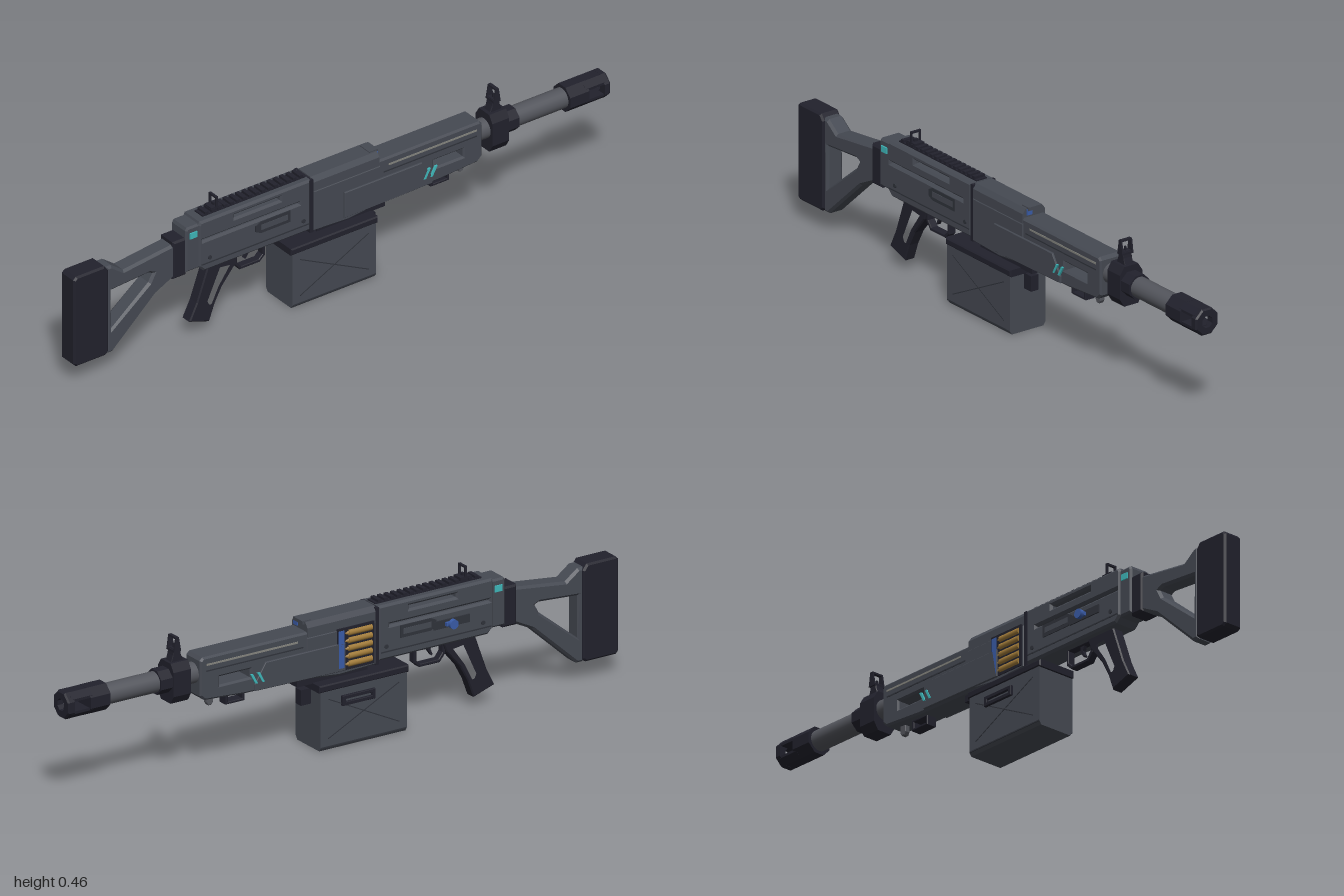
import * as THREE from 'three';

const mat = (name, color) => Object.assign(new THREE.MeshStandardMaterial({ color }), { name });

export function createModel() {
  const model = new THREE.Group();
  model.name = 'beltFedProp';
  const body = mat('slate grey', 0x454952);
  const dark = mat('near black', 0x21212c);
  const steel = mat('barrel grey', 0x53555c);
  const line = mat('panel line', 0x30333b);
  const cyan = mat('cyan accent', 0x3fb8bb);
  const blue = mat('blue accent', 0x3a5ca8);
  const brass = mat('brass', 0xa07a38);
  const pale = mat('pale trim', 0x85857f);

  const add = (name, geo, m, x = 0, y = 0, z = 0) => {
    const mesh = new THREE.Mesh(geo, m);
    mesh.name = name;
    mesh.position.set(x, y, z);
    model.add(mesh);
    return mesh;
  };
  // box from its x and y limits, depth d centred on z
  const box = (name, m, x0, x1, y0, y1, d, z = 0) =>
    add(name, new THREE.BoxGeometry(x1 - x0, y1 - y0, d), m, (x0 + x1) / 2, (y0 + y1) / 2, z);
  const points = (p) => p.map(([x, y]) => new THREE.Vector2(x, y));
  // side outline given thickness along z, with chamfered edges
  const slab = (name, m, outline, half, b = 0.005, holes = []) => {
    const shape = new THREE.Shape(points(outline));
    holes.forEach((h) => shape.holes.push(new THREE.Path(points(h))));
    const geo = new THREE.ExtrudeGeometry(shape, {
      depth: 2 * (half - b), bevelEnabled: b > 0, bevelThickness: b, bevelSize: b, bevelOffset: -b, bevelSegments: 1,
    });
    geo.translate(0, 0, -(half - b));
    return add(name, geo, m);
  };
  const rect = (x0, x1, y0, y1) => [[x0, y0], [x1, y0], [x1, y1], [x0, y1]];
  // y-z outline stretched along x, for sections with sloped shoulders
  const section = (name, m, outline, x0, x1) => {
    const geo = new THREE.ExtrudeGeometry(new THREE.Shape(points(outline)), { depth: x1 - x0, bevelEnabled: false });
    geo.rotateY(Math.PI / 2);
    return add(name, geo, m, x0, 0, 0);
  };
  const axisY = 0.328;
  // round part along x; flat sides when there are few
  const rod = (name, m, x0, x1, r, sides = 24, y = axisY, z = 0) => {
    let geo = new THREE.CylinderGeometry(r, r, x1 - x0, sides);
    geo.rotateY(Math.PI / sides).rotateZ(Math.PI / 2);
    if (sides < 12) { geo = geo.toNonIndexed(); geo.computeVertexNormals(); }
    return add(name, geo, m, (x0 + x1) / 2, y, z);
  };
  const bothSides = (fn) => [1, -1].forEach(fn);

  // Shoulder stock
  slab('buttPad', dark, [[-1, 0.075], [-0.99, 0.065], [-0.88, 0.065], [-0.87, 0.075], [-0.87, 0.36], [-0.885, 0.38], [-0.99, 0.38], [-1, 0.37]], 0.034, 0.006);
  slab('stockFrame', body, [[-0.875, 0.065], [-0.85, 0.065], [-0.69, 0.21], [-0.62, 0.245], [-0.62, 0.36], [-0.81, 0.337], [-0.855, 0.37], [-0.875, 0.37]],
    0.03, 0.008, [[[-0.855, 0.145], [-0.715, 0.258], [-0.7, 0.285], [-0.715, 0.292], [-0.855, 0.282]]]);
  slab('stockCollar', dark, rect(-0.63, -0.58, 0.24, 0.37), 0.034, 0.006);

  // Rear receiver with slots through both walls
  slab('receiverEnd', body, [[-0.585, 0.25], [-0.53, 0.25], [-0.53, 0.405], [-0.58, 0.405], [-0.585, 0.395]], 0.038, 0.006);
  slab('receiver', body, [[-0.54, 0.255], [-0.52, 0.235], [-0.122, 0.235], [-0.122, 0.412], [-0.535, 0.412], [-0.54, 0.4]], 0.043, 0.007,
    [rect(-0.405, -0.235, 0.38, 0.391), rect(-0.525, -0.165, 0.342, 0.346)]);
  bothSides((s) => {
    box('endAccent', cyan, -0.572, -0.545, 0.365, 0.385, 0.006, s * 0.039);
    slab('sideSlot', line, [[-0.33, 0.305], [-0.31, 0.295], [-0.2, 0.295], [-0.2, 0.335], [-0.31, 0.335], [-0.33, 0.325]], 0.003, 0).position.z = s * 0.043;
    box('slotInset', body, -0.31, -0.21, 0.306, 0.324, 0.006, s * 0.0445);
    box('lowerSeam', line, -0.53, -0.13, 0.259, 0.263, 0.004, s * 0.0425);
    [-0.5, -0.15].forEach((x) => {
      const pin = add('pin', new THREE.CylinderGeometry(0.007, 0.007, 0.006, 12), line, x, 0.278, s * 0.043);
      pin.rotation.x = Math.PI / 2;
    });
  });
  box('frontSeam', dark, -0.124, -0.112, 0.225, 0.41, 0.084);

  // Toothed top rail
  box('railBase', dark, -0.51, -0.125, 0.408, 0.416, 0.04);
  for (let i = 0; i < 16; i++) box('railTooth', dark, -0.5 + i * 0.0235, -0.487 + i * 0.0235, 0.414, 0.424, 0.04);

  // Rear sight frame
  box('rearSightBase', dark, -0.475, -0.435, 0.415, 0.428, 0.036);
  bothSides((s) => box('rearSightPost', dark, -0.459, -0.451, 0.425, 0.46, 0.005, s * 0.016));
  box('rearSightTop', dark, -0.459, -0.451, 0.456, 0.462, 0.037);
  box('rearSightNotch', dark, -0.459, -0.451, 0.426, 0.436, 0.012);

  // Feed housing and its raised cover
  slab('feedHousing', body, [[-0.115, 0.228], [0.02, 0.222], [0.14, 0.235], [0.14, 0.37], [-0.115, 0.37]], 0.044, 0.005);
  section('topCover', body, [[-0.042, 0.36], [0.042, 0.36], [0.042, 0.398], [0.03, 0.414], [-0.03, 0.414], [-0.042, 0.398]], -0.115, 0.135);
  box('coverLip', body, 0.11, 0.142, 0.406, 0.417, 0.05);
  box('coverLatch', blue, 0.128, 0.14, 0.392, 0.41, 0.02, 0.018);
  const mark = box('coverMark', dark, 0.01, 0.045, 0.3, 0.305, 0.004, 0.0435);
  mark.rotation.z = 0.8;

  // Cartridge window on the back side
  box('feedWindow', dark, -0.105, 0.03, 0.236, 0.372, 0.006, -0.044);
  box('feedPlate', blue, 0.005, 0.026, 0.245, 0.365, 0.006, -0.046);
  for (let i = 0; i < 5; i++) {
    const y = 0.254 + i * 0.025;
    rod('cartridge', brass, -0.095, -0.01, 0.0105, 14, y, -0.043);
    const tip = add('cartridgeTip', new THREE.ConeGeometry(0.008, 0.025, 12), brass, 0.002, y, -0.043);
    tip.rotation.z = -Math.PI / 2;
  }

  // Forend with a window through it
  slab('forend', body, [[0.13, 0.233], [0.36, 0.236], [0.505, 0.246], [0.522, 0.262], [0.522, 0.375], [0.512, 0.385], [0.13, 0.385]], 0.041, 0.006,
    [rect(0.34, 0.45, 0.284, 0.311)]);
  bothSides((s) => {
    slab('sidePanel', body, [[0.0, 0.235], [0.33, 0.24], [0.33, 0.262], [0.29, 0.325], [0.0, 0.325]], 0.004, 0.002).position.z = s * 0.045;
    box('trimLine', pale, 0.17, 0.5, 0.357, 0.363, 0.004, s * 0.0405);
    box('panelSeam', line, 0.15, 0.5, 0.338, 0.342, 0.004, s * 0.0405);
    [0.295, 0.32].forEach((x) =>
      slab('cyanSlash', cyan, [[x, 0.265], [x + 0.008, 0.265], [x + 0.026, 0.297], [x + 0.017, 0.297]], 0.003, 0).position.z = s * 0.048);
  });
  slab('frontLoop', dark, rect(0.345, 0.415, 0.205, 0.24), 0.018, 0.002, [rect(0.354, 0.406, 0.213, 0.232)]);
  slab('slingLug', steel, [[0.453, 0.222], [0.459, 0.212], [0.471, 0.212], [0.477, 0.222], [0.477, 0.25], [0.453, 0.25]], 0.009, 0.002);

  // Barrel, sight block and muzzle
  rod('barrel', steel, 0.5, 0.87, 0.033);
  section('sightBlock', dark, [[-0.026, 0.256], [0.026, 0.256], [0.042, 0.282], [0.042, 0.36], [0.026, 0.385], [-0.026, 0.385], [-0.042, 0.36], [-0.042, 0.282]], 0.557, 0.62);
  rod('barrelCollar', dark, 0.61, 0.662, 0.041, 8);
  slab('frontSightStem', dark, [[0.565, 0.375], [0.613, 0.375], [0.604, 0.405], [0.601, 0.425], [0.58, 0.425], [0.576, 0.405]], 0.016, 0.002);
  bothSides((s) => slab('frontSightWing', dark, [[0.578, 0.415], [0.604, 0.415], [0.597, 0.461], [0.586, 0.461]], 0.0025, 0).position.z = s * 0.0185);
  box('frontSightBase', dark, 0.578, 0.604, 0.415, 0.422, 0.04);
  box('frontSightTop', dark, 0.586, 0.597, 0.456, 0.462, 0.04);
  box('frontSightPin', dark, 0.588, 0.594, 0.42, 0.438, 0.005);

  rod('muzzleBase', dark, 0.848, 0.92, 0.046, 8);
  bothSides((s) => section('muzzleBar', dark,
    [[-0.037, axisY + s * 0.016], [0.037, axisY + s * 0.016], [0.037, axisY + s * 0.024], [0.018, axisY + s * 0.042], [-0.018, axisY + s * 0.042], [-0.037, axisY + s * 0.024]],
    0.91, 0.985));
  const ring = new THREE.LatheGeometry(points([[0.02, 0], [0.046, 0], [0.046, 0.018], [0.041, 0.023], [0.02, 0.023], [0.02, 0]]), 8).toNonIndexed();
  ring.computeVertexNormals();
  ring.rotateY(Math.PI / 8).rotateZ(-Math.PI / 2);
  add('muzzleRing', ring, dark, 0.977, axisY, 0);

  // Skeleton grip, trigger and guard
  slab('grip', dark, [[-0.485, 0.24], [-0.37, 0.24], [-0.385, 0.2], [-0.435, 0.14], [-0.462, 0.09], [-0.483, 0.033], [-0.558, 0.058], [-0.53, 0.115]], 0.02, 0.004,
    [[[-0.447, 0.215], [-0.402, 0.208], [-0.447, 0.143], [-0.474, 0.088], [-0.488, 0.09], [-0.496, 0.108]]]);
  slab('triggerGuard', dark, [[-0.385, 0.24], [-0.385, 0.195], [-0.365, 0.17], [-0.29, 0.17], [-0.27, 0.188], [-0.27, 0.24]], 0.013, 0.002,
    [[[-0.375, 0.232], [-0.375, 0.2], [-0.36, 0.18], [-0.294, 0.18], [-0.28, 0.193], [-0.28, 0.232]]]);
  slab('trigger', dark, [[-0.345, 0.24], [-0.325, 0.24], [-0.325, 0.215], [-0.338, 0.196], [-0.343, 0.198], [-0.335, 0.217]], 0.006, 0);

  // Charging knob on the back side
  box('knobTrack', line, -0.45, -0.32, 0.293, 0.319, 0.006, -0.0445);
  const stem = add('knobStem', new THREE.CylinderGeometry(0.007, 0.007, 0.03, 12), steel, -0.38, 0.306, -0.05);
  const knob = add('knob', new THREE.CylinderGeometry(0.015, 0.015, 0.013, 16), blue, -0.38, 0.306, -0.062);
  stem.rotation.x = knob.rotation.x = Math.PI / 2;
  box('knobArm', blue, -0.395, -0.36, 0.3, 0.312, 0.01, -0.052);

  // Ammunition box with cross-ribbed sides
  section('ammoBox', body, [[-0.059, 0], [0.059, 0], [0.067, 0.012], [0.067, 0.195], [-0.067, 0.195], [-0.067, 0.012]], -0.208, 0.104);
  slab('ammoLid', dark, rect(-0.215, 0.11, 0.19, 0.213), 0.07, 0.004);
  box('feedNeck', dark, -0.09, 0.165, 0.21, 0.232, 0.06);
  box('neckRib', dark, 0.1, 0.165, 0.222, 0.235, 0.012);
  box('boxLatch', dark, 0.1, 0.14, 0.14, 0.19, 0.028);
  bothSides((s) => {
    box('boxFootLine', line, -0.207, 0.103, 0.01, 0.014, 0.003, s * 0.0665);
    bothSides((d) => {
      const rib = box('crossLine', line, -0.195, 0.091, 0.1, 0.103, 0.003, s * 0.0665);
      rib.rotation.z = d * 0.46;
    });
  });
  slab('boxHandle', dark, rect(-0.09, 0.03, 0.135, 0.167), 0.005, 0.001, [rect(-0.078, 0.018, 0.146, 0.156)]).position.z = -0.071;

  model.children.forEach((c) => { c.position.z += 0.004; });
  return model;
}
